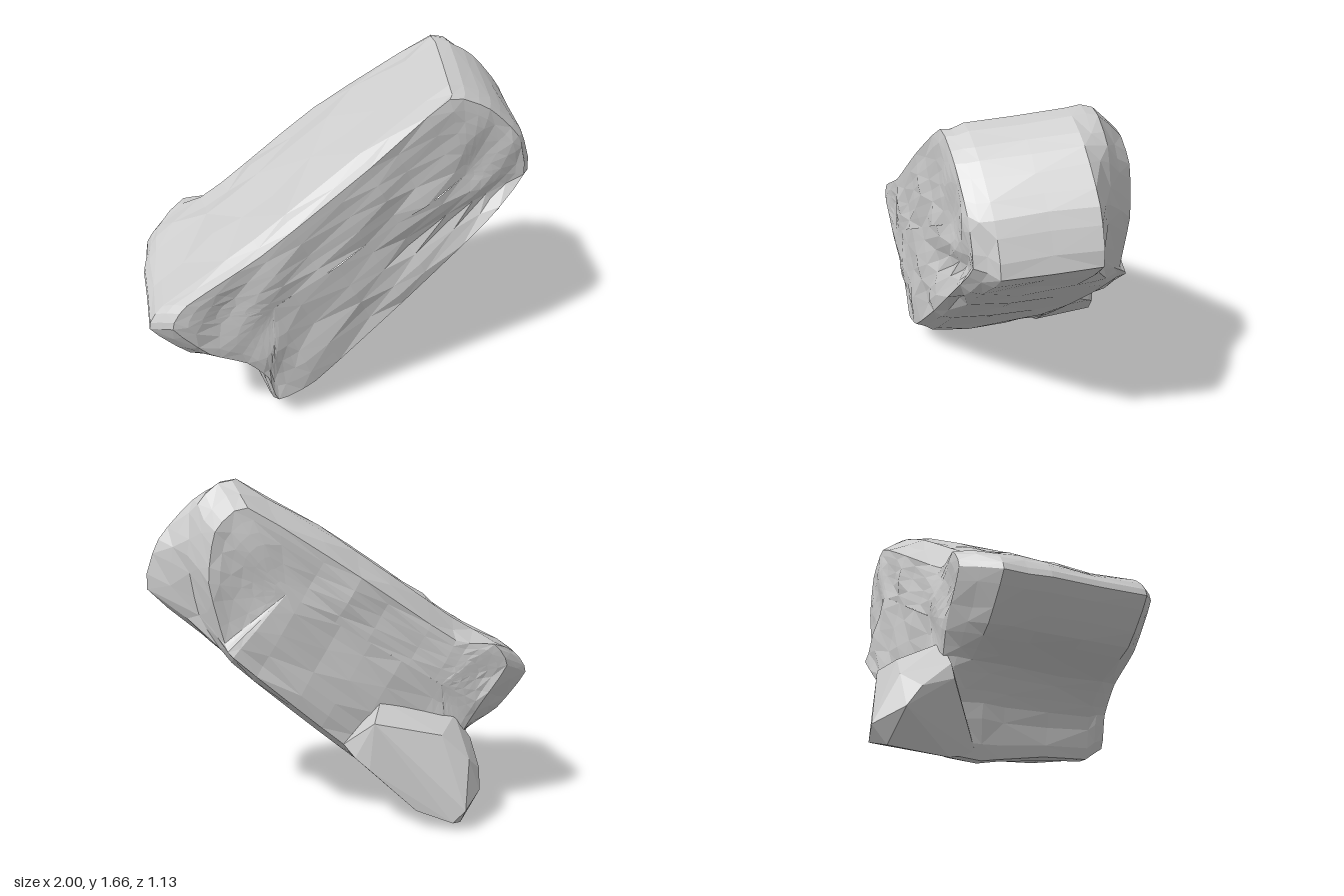
import * as THREE from 'three';
import { ConvexGeometry } from 'three/addons/geometries/ConvexGeometry.js';

const V = (x, y, z) => new THREE.Vector3(x, y, z);
const step = THREE.MathUtils.smoothstep;
const STEPS = 45;

// Widest outline of the slab: left tip, top, far end, underside, notch
const OUTLINE = [
  [-.95, .66], [-.88, .77], [-.5, 1], [0, 1.34], [.56, 1.65], [.77, 1.56], [.94, 1.37],
  [1, 1.13], [.62, .8], [.2, .44], [-.25, .08], [-.44, .02], [-.49, .24], [-.6, .39], [-.79, .48],
];

// Slices from front to back: how far each side of the outline moves at depth z
const SLICES = [
  { z: .54, farZ: -.03, farTop: [-.17, -.09], farLow: [-.18, -.01], lift: .11, drop: .04, left: .04 },
  { z: .45, farZ: -.03, farTop: [-.13, -.06], farLow: [-.1, -.04], lift: .05, drop: 0, left: -.05 },
  { z: .02, farZ: 0, farTop: [0, 0], farLow: [0, 0], lift: 0, drop: 0, left: 0 },
  { z: -.18, farZ: .09, farTop: [.03, 0], farLow: [-.24, -.12], lift: -.01, drop: .03, left: .05 },
  { z: -.28, farZ: .05, farTop: [-.03, -.13], farLow: [-.35, -.24], lift: .03, drop: .15, left: .21 },
];

// Gentle bumps over the stone
const bump = (x, y, z) =>
  Math.sin(11 * x + 5 * y + 4 * z) * Math.sin(9 * y - 6 * x + 7 * z) + 0.5 * Math.sin(23 * x - 17 * y + 13 * z);

function slice({ z, farZ, farTop, farLow, lift, drop, left }) {
  const points = OUTLINE.map(([x, y]) => {
    const along = 0.8 * x + 0.6 * y, across = 0.8 * y - 0.6 * x;
    const far = step(along, 0.95, 1.4);
    const low = THREE.MathUtils.clamp((1.64 - y) / 0.45, 0, 1);
    const under = (1 - step(across, 0.3, 0.6)) * (1 - far);
    const top = step(across, 0.85, 1.05) * (1 - far);
    const tip = 1 - step(x, -0.9, -0.4);
    return V(
      x + far * THREE.MathUtils.lerp(farTop[0], farLow[0], low) + tip * left,
      y + far * THREE.MathUtils.lerp(farTop[1], farLow[1], low) + under * lift - top * drop * (1 - tip) + tip * left * 0.4,
      z + farZ * far - (z < -0.2 ? 0.03 * tip : 0),
    );
  });
  const curve = new THREE.CatmullRomCurve3(points, true, 'catmullrom', 0.25);
  return Array.from({ length: STEPS }, (_, i) => curve.getPoint(i / STEPS));
}

// Crease on the front face, deepest near the far end
const crease = (x, y) => {
  const below = 0.82 + (x - 0.05) * 0.36 - y;
  const along = step(x, 0, 0.45) * (1 - step(x, 0.68, 0.8));
  return -0.05 * along * Math.exp(-Math.pow((below - 0.02) / 0.07, 2));
};

// Pulls an outline in towards the middle line of the slab to close a face
const inset = (loop, line, t, dent) => loop.map(p => {
  const q = p.clone().lerp(line.closestPointToPoint(p, true, V(0, 0, 0)), t);
  q.z += dent(q.x, q.y) + bump(q.x, q.y, q.z) * 0.011;
  return q;
});

function loft(rings) {
  const pos = [], index = [];
  rings.forEach(loop => loop.forEach(p => pos.push(p.x, p.y, p.z)));
  for (let r = 0; r < rings.length - 1; r++) {
    for (let i = 0; i < STEPS; i++) {
      const a = r * STEPS + i, b = r * STEPS + (i + 1) % STEPS, c = a + STEPS, d = b + STEPS;
      if ((i + r) % 2) index.push(a, b, c, b, d, c);
      else index.push(a, b, d, a, d, c);
    }
  }
  const geo = new THREE.BufferGeometry();
  geo.setAttribute('position', new THREE.Float32BufferAttribute(pos, 3));
  geo.setIndex(index);
  const flat = geo.toNonIndexed();
  flat.computeVertexNormals();
  return flat;
}

export function createModel() {
  const group = new THREE.Group();
  group.name = 'rock';
  const material = new THREE.MeshStandardMaterial({ color: 0xcccccc, flatShading: true });

  // Sides, with a rough half-way ring between each pair of slices
  const loops = SLICES.map(slice);
  const sides = [loops[0]];
  for (let r = 1; r < loops.length; r++) {
    const between = loops[r].map((p, i) => {
      const m = p.clone().lerp(loops[r - 1][i], 0.5);
      const b = bump(m.x, m.y, m.z) * 0.008;
      return m.add(V(b, -b, b));
    });
    sides.push(between, loops[r]);
  }

  // Front and back faces
  const frontLine = new THREE.Line3(V(-.45, .68, .55), V(.5, 1.17, .525));
  const backLine = new THREE.Line3(V(-.4, .66, -.31), V(.36, 1.12, -.26));
  const insets = [0.14, 0.28, 0.42, 0.56, 0.7, 0.85, 1];
  const front = insets.map(t => inset(loops[0], frontLine, t, crease)).reverse();
  const back = insets.map(t => inset(loops[loops.length - 1], backLine, t, () => 0));
  const slab = new THREE.Mesh(loft([...front, ...sides, ...back]), material);
  slab.name = 'slab';

  // Jutting lump at the foot of the back, its base level with the slab's underside
  const lump = new THREE.Mesh(new ConvexGeometry([
    [-.57, .37, -.27], [-.48, .5, -.28], [-.1, .59, -.27], [.09, .38, -.28], [.05, .33, -.36], [.07, .34, -.18],
    [-.01, .28, -.41], [-.22, .09, -.49], [-.38, .04, -.56], [-.44, .1, -.57], [-.44, .02, -.5], [-.44, 0, -.22],
    [-.57, .25, -.4], [-.55, .16, -.46], [-.49, .32, -.47], [-.36, .44, -.44], [-.03, .51, -.42],
    [-.24, .07, -.16], [-.44, .03, -.1], [-.58, .3, -.26],
  ].map(p => V(...p))), material);
  lump.name = 'backLump';

  group.add(slab, lump);
  return group;
}
